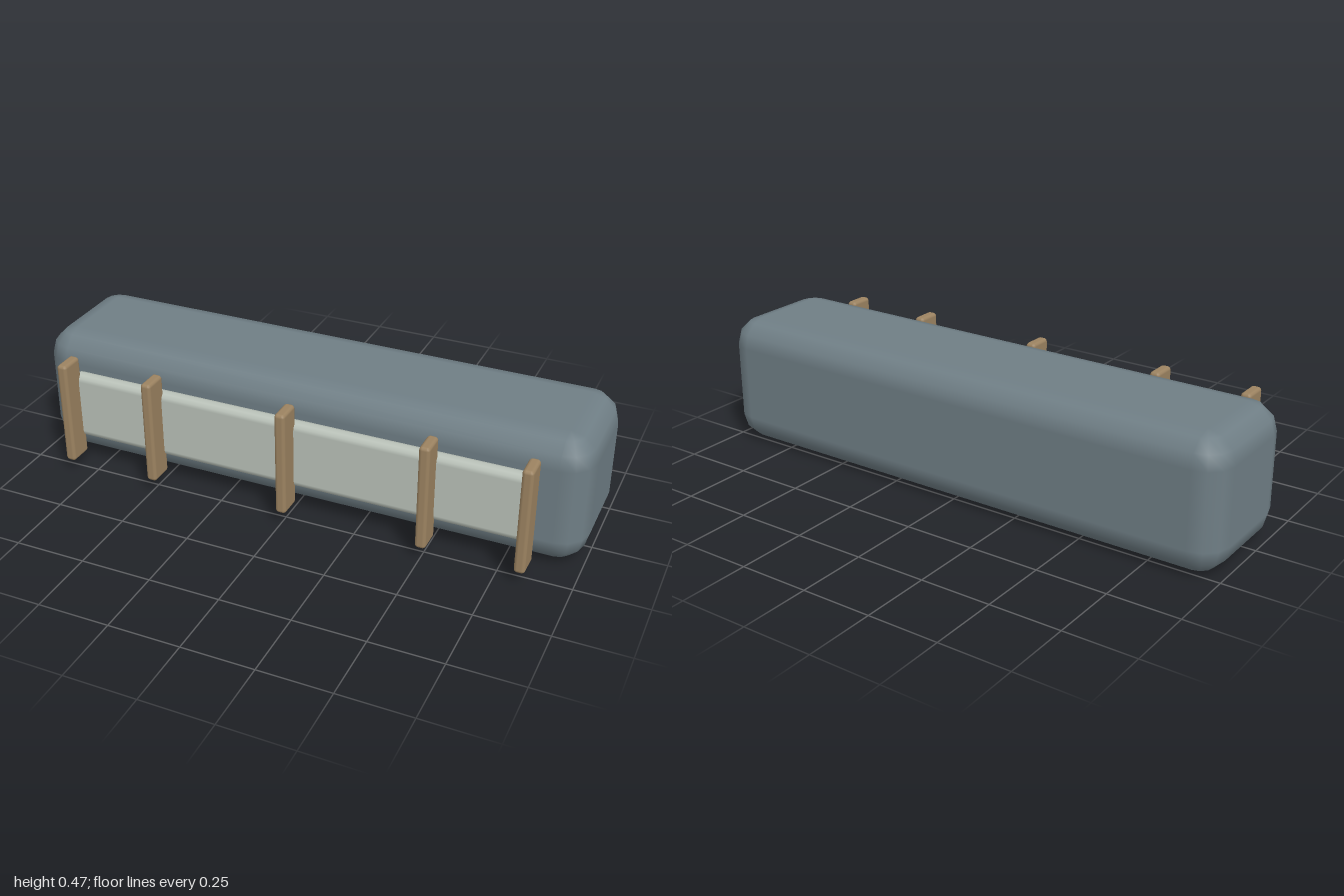
import * as THREE from 'three';

const STEPS = 3; // segments in each rounded edge

// Box with evenly rounded edges: a sphere whose octants are pushed apart to the corners
function roundedBox(w, h, d, r) {
  const n = STEPS + 1;
  const cols = 4 * n, rows = 2 * n + 1;
  const geo = new THREE.SphereGeometry(1, cols, rows);
  const pos = geo.attributes.position, nor = geo.attributes.normal;
  const quarter = Math.PI / 2;
  for (let row = 0; row <= rows; row++) {
    const pole = row === 0 || row === rows;
    const top = row <= n;
    const sy = top ? 1 : -1;
    const theta = pole ? (top ? 0 : Math.PI)
      : top ? (row - 1) / STEPS * quarter
      : quarter + (row - n - 1) / STEPS * quarter;
    for (let col = 0; col <= cols; col++) {
      const q = Math.floor(col / n) % 4;
      const phi = (q + (col % n) / STEPS) * quarter;
      const sx = q === 1 || q === 2 ? 1 : -1;
      const sz = q < 2 ? 1 : -1;
      const nx = -Math.cos(phi) * Math.sin(theta);
      const ny = Math.cos(theta);
      const nz = Math.sin(phi) * Math.sin(theta);
      const spread = pole ? 0 : 1; // poles stay centred to close the flat top and bottom
      const i = row * (cols + 1) + col;
      pos.setXYZ(i,
        spread * sx * (w / 2 - r) + nx * r,
        sy * (h / 2 - r) + ny * r,
        spread * sz * (d / 2 - r) + nz * r);
      nor.setXYZ(i, nx, ny, nz);
    }
  }
  return geo;
}

export function createModel() {
  const model = new THREE.Group();
  const bodyMat = new THREE.MeshStandardMaterial({ color: 0x6f7e85 });
  const panelMat = new THREE.MeshStandardMaterial({ color: 0xb9c1b8 });
  const slatMat = new THREE.MeshStandardMaterial({ color: 0x9c8361 });

  const add = (name, geo, mat, x, y, z) => {
    const mesh = new THREE.Mesh(geo, mat);
    mesh.name = name;
    mesh.position.set(x, y, z);
    model.add(mesh);
  };

  // Long main body
  add('body', roundedBox(2, 0.467, 0.467, 0.1), bodyMat, 0, 0.2335, -0.064);

  // Pale panel along the front
  add('frontPanel', roundedBox(1.69, 0.25, 0.054, 0.026), panelMat, 0, 0.235, 0.201);

  // Upright slats across the panel
  const slat = roundedBox(0.038, 0.383, 0.091, 0.012);
  [-0.833, -0.5, 0, 0.5, 0.833].forEach((x, i) =>
    add(`slat${i + 1}`, slat, slatMat, x, 0.235, 0.2535));

  return model;
}
